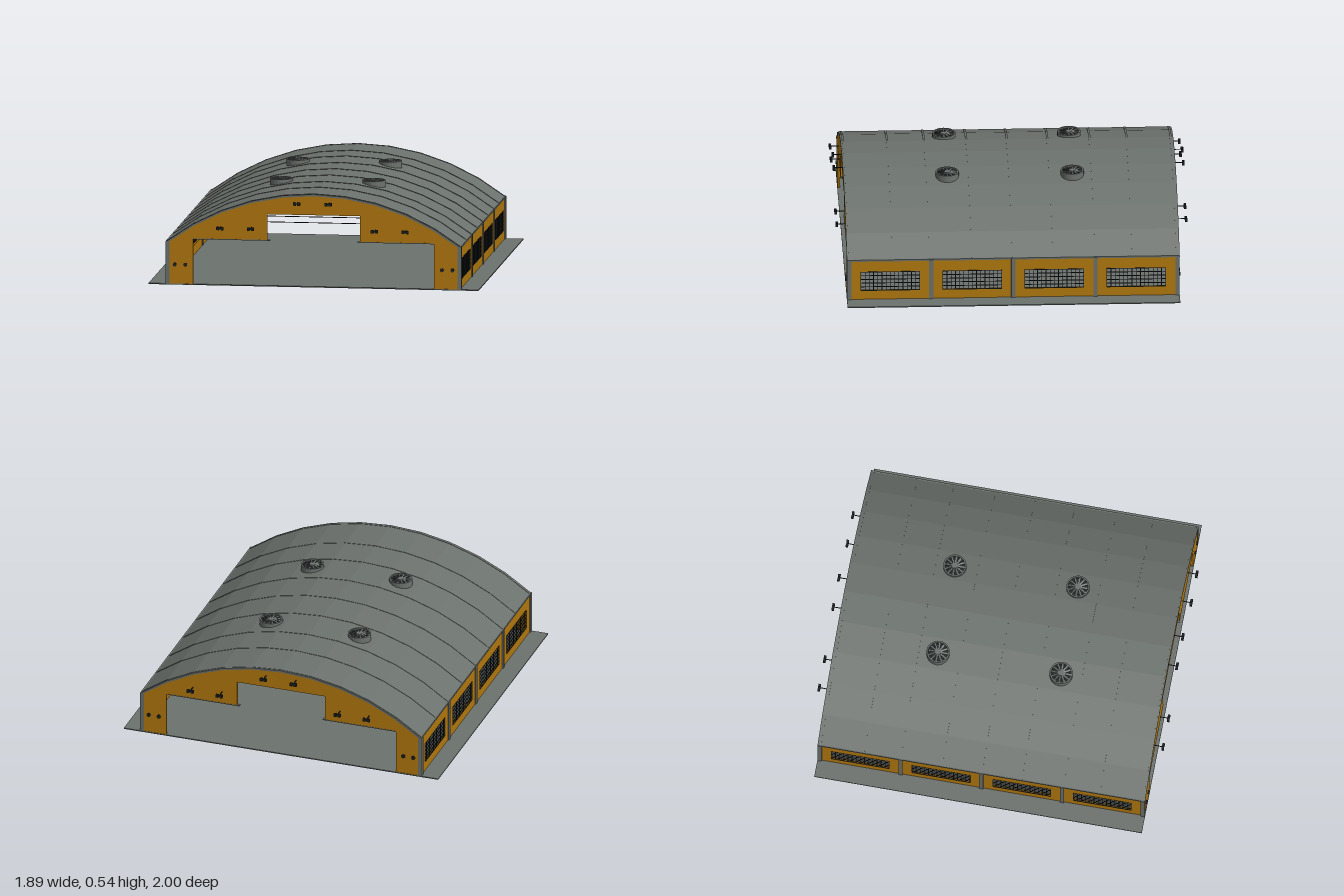
import * as THREE from 'three';
import { mergeGeometries } from 'three/addons/utils/BufferGeometryUtils.js';

const mat = (name, color, side = THREE.FrontSide) => {
  const m = new THREE.MeshStandardMaterial({ color, side });
  m.name = name;
  return m;
};

const HALF = 0.945;      // half length of the hangar
const WALL = 0.84;       // half width at the walls
const EAVE = 0.25;       // wall height
const R = 1.38, CY = -0.845;   // roof circle
const STEPS = 10;

// Points along the roof arch, from -x to +x
function arch(radius) {
  const half = Math.asin(WALL / R), pts = [];
  for (let i = 0; i <= STEPS; i++) {
    const a = -half + (2 * half * i) / STEPS;
    pts.push(new THREE.Vector2(Math.sin(a) * radius, CY + Math.cos(a) * radius));
  }
  return pts;
}

// Curved band between two radii, centred on z
function archBand(inner, outer, depth, z = 0) {
  const shape = new THREE.Shape([...arch(outer), ...arch(inner).reverse()]);
  return new THREE.ExtrudeGeometry(shape, { depth, bevelEnabled: false }).translate(0, 0, z - depth / 2);
}

const box = (w, h, d, x, y, z) => new THREE.BoxGeometry(w, h, d).translate(x, y, z);

export function createModel() {
  const grey = mat('weathered grey', 0x6c726e);
  const orange = mat('ochre paint', 0xb3790e);
  const dark = mat('dark metal', 0x1d2224);
  const model = new THREE.Group();
  model.name = 'hangar';

  const add = (name, geo, material, parent = model) => {
    const mesh = new THREE.Mesh(geo, material);
    mesh.name = name;
    parent.add(mesh);
    return mesh;
  };

  add('floorSlab', box(2 * HALF, 0.006, 2 * HALF, 0, 0.003, 0), grey);
  add('roof', archBand(R - 0.011, R, 2 * HALF), grey);

  // Raised roof seams and the ribs under them
  const seamZ = [-0.93, -0.68, -0.47, -0.23, 0, 0.23, 0.47, 0.68, 0.93];
  add('roofSeams', mergeGeometries(seamZ.map(z => archBand(R - 0.002, R + 0.002, 0.012, z))), grey);
  const ribZ = seamZ.slice(1, -1);
  add('roofRibs', mergeGeometries(ribZ.map(z => archBand(R - 0.025, R - 0.01, 0.012, z))), dark);
  add('tieRods', mergeGeometries(ribZ.map(z => box(1.42, 0.004, 0.004, 0, 0.33, z))), dark);
  const purlins = arch(R - 0.016).slice(1, -1).filter((_, i) => i % 2 === 0)
    .map(p => box(0.008, 0.01, 1.84, p.x, p.y, 0));
  add('purlins', mergeGeometries(purlins), dark);

  // Gable ends with a stepped doorway
  const opening = [[0.69, 0.004], [0.69, 0.265], [0.265, 0.265], [0.265, 0.415]];
  const gable = new THREE.Shape([
    new THREE.Vector2(-WALL, 0.004),
    ...arch(R - 0.01),
    new THREE.Vector2(WALL, 0.004),
    ...opening.map(([x, y]) => new THREE.Vector2(x, y)),
    ...opening.slice().reverse().map(([x, y]) => new THREE.Vector2(-x, y)),
  ]);
  const lampSpots = [[0.09, 0.485], [0.355, 0.335], [0.53, 0.335]];

  for (const turn of [0, Math.PI]) {
    const end = new THREE.Group();
    end.name = turn ? 'backEnd' : 'frontEnd';
    end.rotation.y = turn;
    model.add(end);
    const panel = new THREE.ExtrudeGeometry(gable, { depth: 0.012, bevelEnabled: false });
    add('gablePanel', panel.translate(0, 0, HALF - 0.015), orange, end);

    const lamps = [], bolts = [], trims = [];
    for (const s of [-1, 1]) {
      // Floodlights on short arms
      for (const [x, y] of lampSpots) {
        lamps.push(
          box(0.004, 0.004, 0.05, s * x, y + 0.002, 0.966),
          box(0.016, 0.018, 0.014, s * x - 0.012, y, 0.992),
          box(0.016, 0.018, 0.014, s * x + 0.012, y, 0.992),
          box(0.036, 0.006, 0.008, s * x, y, 0.992));
      }
      // Round fixings on the door posts
      for (const x of [0.735, 0.795]) {
        bolts.push(new THREE.CylinderGeometry(0.011, 0.011, 0.01, 12)
          .rotateX(Math.PI / 2).translate(s * x, 0.115, HALF));
      }
      trims.push(box(0.44, 0.005, 0.02, s * 0.47, 0.265, HALF - 0.012));
    }
    add('floodlights', mergeGeometries(lamps), dark, end);
    add('postFixings', mergeGeometries(bolts), dark, end);
    add('lintelTrim', mergeGeometries(trims), grey, end);
  }

  // Side walls: four painted panels with open grille windows
  const bayZ = [-0.698, -0.233, 0.233, 0.698];
  const winW = 0.335, winH = 0.115, winY = 0.118;
  const wall = new THREE.Shape();
  wall.moveTo(-0.93, 0.004).lineTo(0.93, 0.004).lineTo(0.93, EAVE - 0.004).lineTo(-0.93, EAVE - 0.004);
  for (const z of bayZ) {
    const hole = new THREE.Path();
    hole.moveTo(z - winW / 2, winY - winH / 2).lineTo(z - winW / 2, winY + winH / 2)
      .lineTo(z + winW / 2, winY + winH / 2).lineTo(z + winW / 2, winY - winH / 2);
    wall.holes.push(hole);
  }
  for (const s of [-1, 1]) {
    const side = new THREE.Group();
    side.name = s > 0 ? 'leftWall' : 'rightWall';
    side.rotation.y = s > 0 ? 0 : Math.PI;
    model.add(side);
    const sheet = new THREE.ExtrudeGeometry(wall, { depth: 0.012, bevelEnabled: false });
    add('wallPanel', sheet.rotateY(Math.PI / 2).translate(WALL - 0.012, 0, 0), orange, side);

    const posts = [-0.932, -0.466, 0, 0.466, 0.932]
      .map(z => box(0.022, EAVE - 0.006, 0.024, WALL - 0.004, EAVE / 2 + 0.002, z));
    posts.push(box(0.018, 0.01, 2 * HALF, WALL - 0.004, EAVE - 0.003, 0));
    add('postsAndEave', mergeGeometries(posts), grey, side);

    const bars = [];
    for (const z of bayZ) {
      for (let i = 0; i <= 14; i++)
        bars.push(box(0.004, winH, 0.0035, WALL, winY, z - winW / 2 + (winW * i) / 14));
      for (let j = 0; j <= 5; j++)
        bars.push(box(0.004, 0.0035, winW, WALL, winY - winH / 2 + (winH * j) / 5, z));
    }
    add('windowGrilles', mergeGeometries(bars), dark, side);
  }

  // Roof fans: ring, dark well, blades and hub
  const ringProfile = [[0.057, 0.475], [0.066, 0.475], [0.066, 0.533], [0.057, 0.533], [0.057, 0.475]]
    .map(([r, y]) => new THREE.Vector2(r, y));
  const ringGeo = new THREE.LatheGeometry(ringProfile, 24).toNonIndexed();
  ringGeo.computeVertexNormals();
  const blades = [];
  for (let i = 0; i < 12; i++)
    blades.push(box(0.04, 0.003, 0.009, 0.036, 0, 0)
      .rotateX(0.35).rotateY((i * Math.PI) / 6).translate(0, 0.529, 0));
  const bladeGeo = mergeGeometries(blades);
  for (const x of [-0.265, 0.265]) for (const z of [-0.355, 0.355]) {
    const fan = new THREE.Group();
    fan.name = 'roofFan';
    fan.position.set(x, 0, z);
    model.add(fan);
    add('fanRing', ringGeo, grey, fan);
    add('fanWell', new THREE.CylinderGeometry(0.058, 0.058, 0.045, 24).translate(0, 0.502, 0), dark, fan);
    add('fanBlades', bladeGeo, grey, fan);
    add('fanHub', new THREE.CylinderGeometry(0.018, 0.018, 0.01, 16).translate(0, 0.528, 0), grey, fan);
  }
  return model;
}
